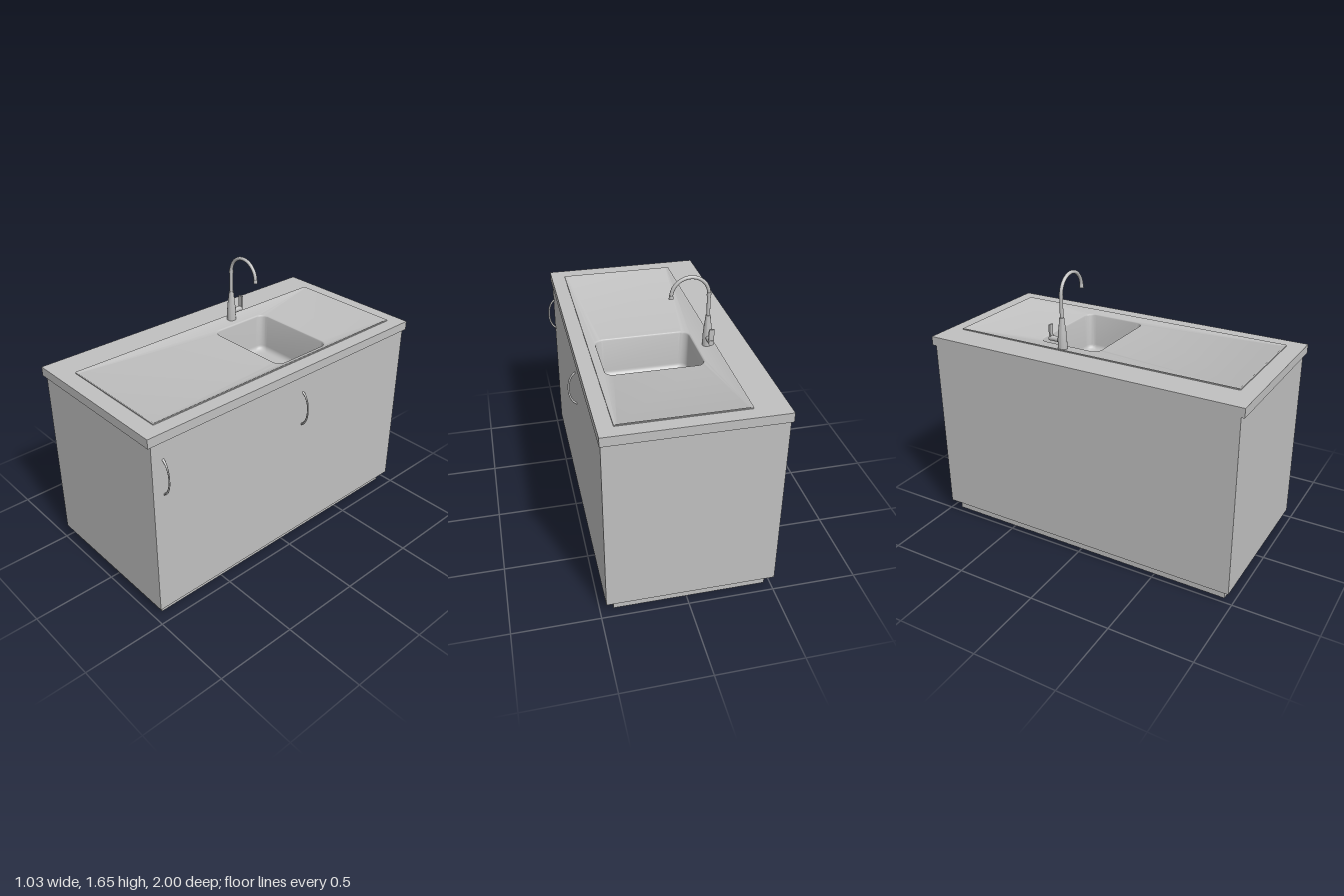
import * as THREE from 'three';
import { toCreasedNormals } from 'three/addons/utils/BufferGeometryUtils.js';

const grey = new THREE.MeshStandardMaterial({ color: 0xc0c0c0, side: THREE.DoubleSide });
grey.name = 'satin grey';

function add(parent, name, geometry, x = 0, y = 0, z = 0) {
  const mesh = new THREE.Mesh(geometry, grey);
  mesh.name = name;
  mesh.position.set(x, y, z);
  parent.add(mesh);
  return mesh;
}

// Rectangle path on the floor plan, given as [x0, x1, z0, z1]
function rectPath(PathType, [x0, x1, z0, z1]) {
  const path = new PathType();
  path.moveTo(x0, -z1);
  path.lineTo(x1, -z1);
  path.lineTo(x1, -z0);
  path.lineTo(x0, -z0);
  path.closePath();
  return path;
}

// Upright rectangular frame, open at top and bottom
function frame(outer, inner, y0, y1) {
  const shape = rectPath(THREE.Shape, outer);
  shape.holes.push(rectPath(THREE.Path, inner));
  const g = new THREE.ExtrudeGeometry(shape, { depth: y1 - y0, bevelEnabled: false });
  return g.rotateX(-Math.PI / 2).translate(0, y0, 0);
}

const inset = ([x0, x1, z0, z1], d) => [x0 + d, x1 - d, z0 + d, z1 - d];

// Rounded rectangular ring of points at height y
function ring([x0, x1, z0, z1], r, y) {
  const steps = 8, points = [];
  const corners = [[x1 - r, z0 + r], [x0 + r, z0 + r], [x0 + r, z1 - r], [x1 - r, z1 - r]];
  corners.forEach(([cx, cz], k) => {
    for (let i = 0; i <= steps; i++) {
      const a = (k + i / steps) * Math.PI / 2;
      points.push([cx + r * Math.cos(a), y, cz - r * Math.sin(a)]);
    }
  });
  return points;
}

// Skin over successive rings, from outside to inside
function loft(rings) {
  const n = rings[0].length, index = [];
  for (let j = 0; j < rings.length - 1; j++) {
    for (let i = 0; i < n; i++) {
      const a = j * n + i, b = j * n + (i + 1) % n;
      index.push(a, b, b + n, a, b + n, a + n);
    }
  }
  const g = new THREE.BufferGeometry();
  g.setAttribute('position', new THREE.Float32BufferAttribute(rings.flat(2), 3));
  g.setIndex(index);
  return toCreasedNormals(g, 0.6);
}

function sinkSheet(sheet, basin) {
  // Raised lip, then a surface falling gently to the basin
  const rings = [
    ring(sheet, 0.006, 1.205), ring(sheet, 0.006, 1.221),
    ring(inset(sheet, 0.008), 0.006, 1.221), ring(inset(sheet, 0.014), 0.006, 1.217),
  ];
  // Rounded basin edge
  for (let i = 0; i <= 4; i++) {
    const a = i / 4 * Math.PI / 2;
    rings.push(ring(inset(basin, 0.01 * Math.sin(a)), 0.05, 1.196 + 0.01 * Math.cos(a)));
  }
  // Basin wall and rounded floor edge
  for (let i = 0; i <= 6; i++) {
    const a = i / 6 * Math.PI / 2;
    rings.push(ring(inset(basin, 0.016 + 0.035 * (1 - Math.cos(a))), 0.05, 1.0 - 0.035 * Math.sin(a)));
  }
  // Floor closing in on the drain
  rings.push(ring([-0.09, -0.05, -0.24, -0.2], 0.02, 0.96));
  return loft(rings);
}

// Bow handle in the plane facing sideways, wider at its feet
function handleGeometry() {
  const curve = new THREE.CatmullRomCurve3([
    [-0.005, 0.11], [0.018, 0.09], [0.037, 0.05], [0.043, 0], [0.037, -0.05], [0.018, -0.09], [-0.005, -0.11],
  ].map(([x, y]) => new THREE.Vector3(x, y, 0)));
  const g = new THREE.TubeGeometry(curve, 32, 0.006, 10);
  const p = g.attributes.position;
  for (let i = 0; i < p.count; i++) {
    const t = p.getY(i) / 0.11;
    p.setZ(i, p.getZ(i) * (0.6 + 0.6 * t * t));
  }
  g.computeVertexNormals();
  return g;
}

function makeTap() {
  const tap = new THREE.Group();
  tap.name = 'tap';
  tap.position.set(-0.285, 1.212, -0.214);

  // Tapered body
  const profile = [[0, 0], [0.028, 0], [0.028, 0.01], [0.027, 0.06], [0.024, 0.1], [0.018, 0.15], [0.014, 0.188], [0, 0.188]]
    .map(([r, y]) => new THREE.Vector2(r, y));
  add(tap, 'tapBody', toCreasedNormals(new THREE.LatheGeometry(profile, 28), 0.6));

  // Swan neck spout
  const points = [0.17, 0.21, 0.25, 0.29].map(y => new THREE.Vector3(0, y, 0));
  for (let i = 0; i <= 12; i++) {
    const a = Math.PI * (1 - i / 12);
    points.push(new THREE.Vector3(0.108 + 0.108 * Math.cos(a), 0.318 + 0.108 * Math.sin(a), 0));
  }
  add(tap, 'spout', new THREE.TubeGeometry(new THREE.CatmullRomCurve3(points), 64, 0.0105, 16));
  add(tap, 'neckCollar', new THREE.CylinderGeometry(0.0125, 0.0125, 0.02, 20), 0, 0.318, 0);
  add(tap, 'spoutTip', new THREE.CylinderGeometry(0.0115, 0.013, 0.022, 20), 0.216, 0.318, 0);

  // Side lever
  add(tap, 'leverStem', new THREE.CylinderGeometry(0.016, 0.016, 0.085, 20).rotateX(Math.PI / 2), 0, 0.052, -0.043);
  add(tap, 'lever', new THREE.BoxGeometry(0.03, 0.09, 0.01), 0, 0.09, -0.078);
  return tap;
}

export function createModel() {
  const model = new THREE.Group();
  model.name = 'sinkCabinet';

  // Hollow cabinet
  const carcass = [-0.51, 0.467, -0.977, 0.979];
  const plinth = [-0.465, 0.422, -0.94, 0.942];
  add(model, 'plinth', frame(plinth, inset(plinth, 0.006), 0, 0.07));
  add(model, 'carcass', frame(carcass, inset(carcass, 0.06), 0.07, 1.16));

  // Worktop with the sink sheet let into it
  const sheet = [-0.328, 0.389, -0.918, 0.9];
  const basin = [-0.23, 0.347, -0.428, -0.01];
  add(model, 'worktop', frame([-0.515, 0.475, -1, 1], inset(sheet, 0.001), 1.16, 1.215));
  add(model, 'sinkSheet', sinkSheet(sheet, basin));
  add(model, 'drain', new THREE.CylinderGeometry(0.035, 0.035, 0.008, 28), -0.07, 0.963, -0.22);

  // Two handles on the long side
  for (const z of [0.907, -0.093]) add(model, 'handle', handleGeometry(), 0.467, 0.945, z);

  model.add(makeTap());
  return model;
}
